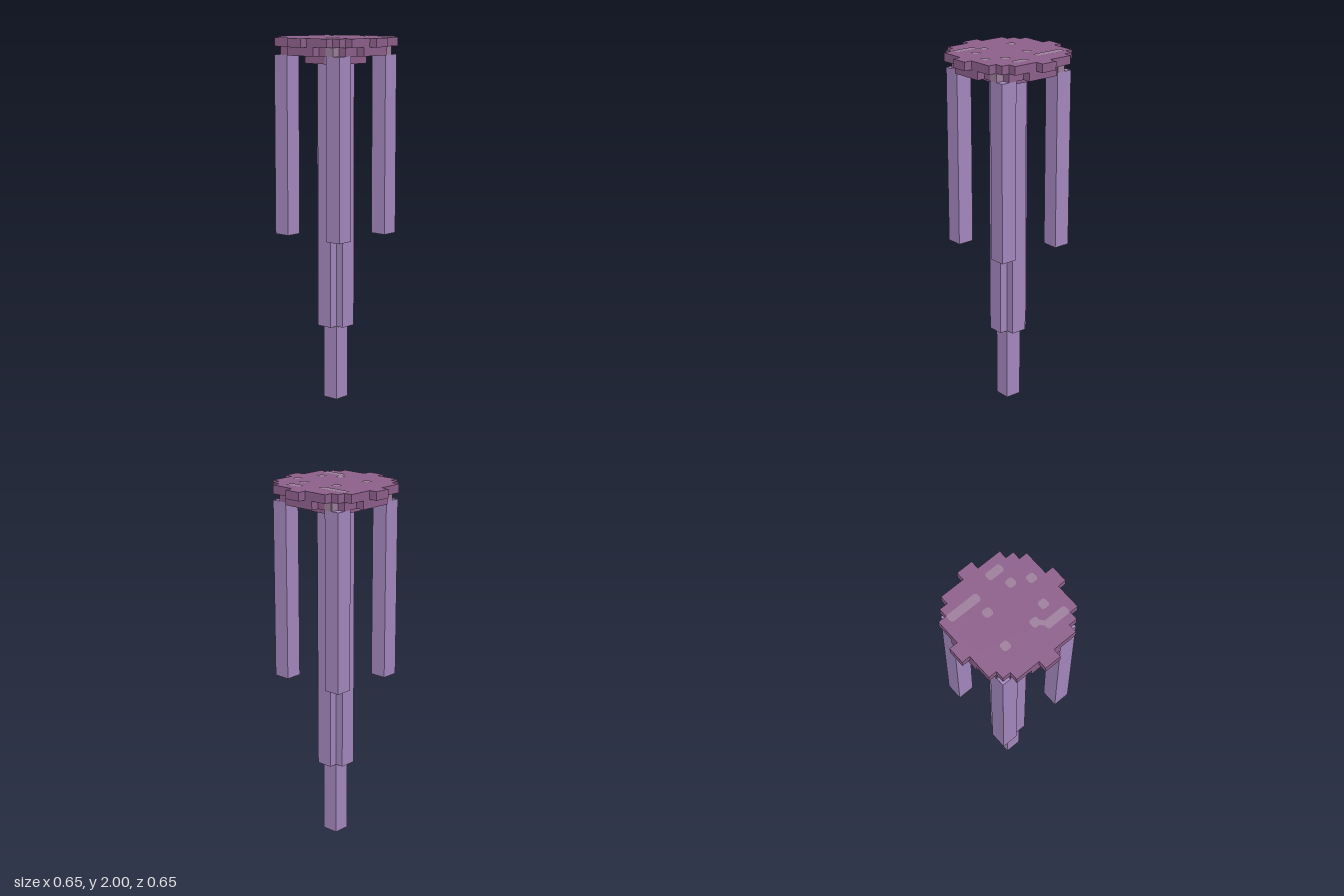
import * as THREE from 'three';

const U = 2 / 43; // one block of the stepped grid

// Closed outline from the positive quarter of a stepped disc, mirrored four ways
function steppedShape(quarter) {
  const rev = [...quarter].reverse();
  const pts = [
    ...quarter,
    ...rev.map(([x, z]) => [-x, z]),
    ...quarter.map(([x, z]) => [-x, -z]),
    ...rev.map(([x, z]) => [x, -z]),
  ];
  return new THREE.Shape(pts.map(([x, z]) => new THREE.Vector2(x * U, z * U)));
}

// Corner points of a staircase given as [x, z] treads, starting at the x axis
function stairs(treads) {
  const out = [];
  treads.forEach(([x, z], i) => {
    if (i > 0) out.push([x, treads[i - 1][1]]);
    out.push([x, z]);
  });
  return out;
}

export function createModel() {
  const group = new THREE.Group();
  const material = (name, color) => {
    const m = new THREE.MeshStandardMaterial({ color });
    m.name = name;
    return m;
  };
  const capPurple = material('cap purple', 0x8d608c);
  const spotMauve = material('spot mauve', 0x9e7f9c);
  const tentacleLilac = material('tentacle lilac', 0xa488be);

  const add = (name, geometry, mat, x = 0, y = 0, z = 0, parent = group) => {
    const mesh = new THREE.Mesh(geometry, mat);
    mesh.name = name;
    mesh.position.set(x * U, y * U, z * U);
    parent.add(mesh);
    return mesh;
  };
  const block = (name, mat, x0, x1, y0, y1, z0, z1, parent) =>
    add(name, new THREE.BoxGeometry((x1 - x0) * U, (y1 - y0) * U, (z1 - z0) * U),
      mat, (x0 + x1) / 2, (y0 + y1) / 2, (z0 + z1) / 2, parent);
  const slab = (name, mat, treads, y0, y1) => {
    const g = new THREE.ExtrudeGeometry(steppedShape(stairs(treads)),
      { depth: (y1 - y0) * U, bevelEnabled: false });
    g.rotateX(-Math.PI / 2);
    return add(name, g, mat, 0, y0, 0);
  };

  // Three stepped discs of the cap, widest on top
  slab('capTop', capPurple, [[7, 1], [6, 4], [5, 5], [4, 6], [1, 7]], 42, 43);
  slab('capMiddle', capPurple, [[6, 2], [5, 4], [4, 5], [2, 6]], 41, 42);
  slab('capBottom', capPurple, [[3, 2], [2, 3]], 40, 41);

  // Cross-shaped central column and the thin stem below it
  slab('centralColumn', tentacleLilac, [[2, 1], [1, 2]], 9, 40);
  block('centralStem', tentacleLilac, -1, 1, 0, 9, -1, 1);

  // Four hanging tentacles at the corners
  for (const sx of [-1, 1]) for (const sz of [-1, 1]) {
    block('cornerTentacle', tentacleLilac, sx * 4 - 1, sx * 4 + 1, 20, 41, sz * 4 - 1, sz * 4 + 1);
  }

  // Spots on top of the cap: x0, x1, z0, z1 with clipped corners
  const spots = [
    [-5, -1, -4, -3], [1, 3, -5, -4], [2, 3, -3, -2], [-2, -1, -2, -1], [4, 5, -2, -1],
    [3, 4, 1, 2], [-3, -2, 2, 3], [1, 2, 2, 3], [2, 5, 3, 4],
  ];
  const flat = (name, pts) => {
    const g = new THREE.ShapeGeometry(
      new THREE.Shape(pts.map(([x, z]) => new THREE.Vector2(x * U, -z * U))));
    g.rotateX(-Math.PI / 2);
    add(name, g, spotMauve, 0, 43.04, 0);
  };
  const c = 0.2;
  for (const [a, b, d, e] of spots) {
    flat('capSpot', [[a + c, d], [b - c, d], [b, d + c], [b, e - c],
      [b - c, e], [a + c, e], [a, e - c], [a, d + c]]);
  }
  // Bridge joining the two spots that touch at a corner
  flat('capSpotBridge', [[2, 2.6], [2.4, 3], [2, 3.4], [1.6, 3]]);

  // Pale patches on the cap rim, repeated on each side
  for (let i = 0; i < 4; i++) {
    const side = new THREE.Group();
    side.name = 'rimSpots';
    side.rotation.y = i * Math.PI / 2;
    block('rimSpot', spotMauve, 3, 4, 41, 42, 5, 5.05, side);
    block('rimSpot', spotMauve, -5, -4, 41, 42, 4, 4.05, side);
    if (i === 0) {
      block('lowerRimSpot', spotMauve, 1, 2, 40, 41, 3, 3.05, side);
      block('lowerRimSpot', spotMauve, -3, -2, 40, 41, 2, 2.05, side);
    }
    group.add(side);
  }
  return group;
}
